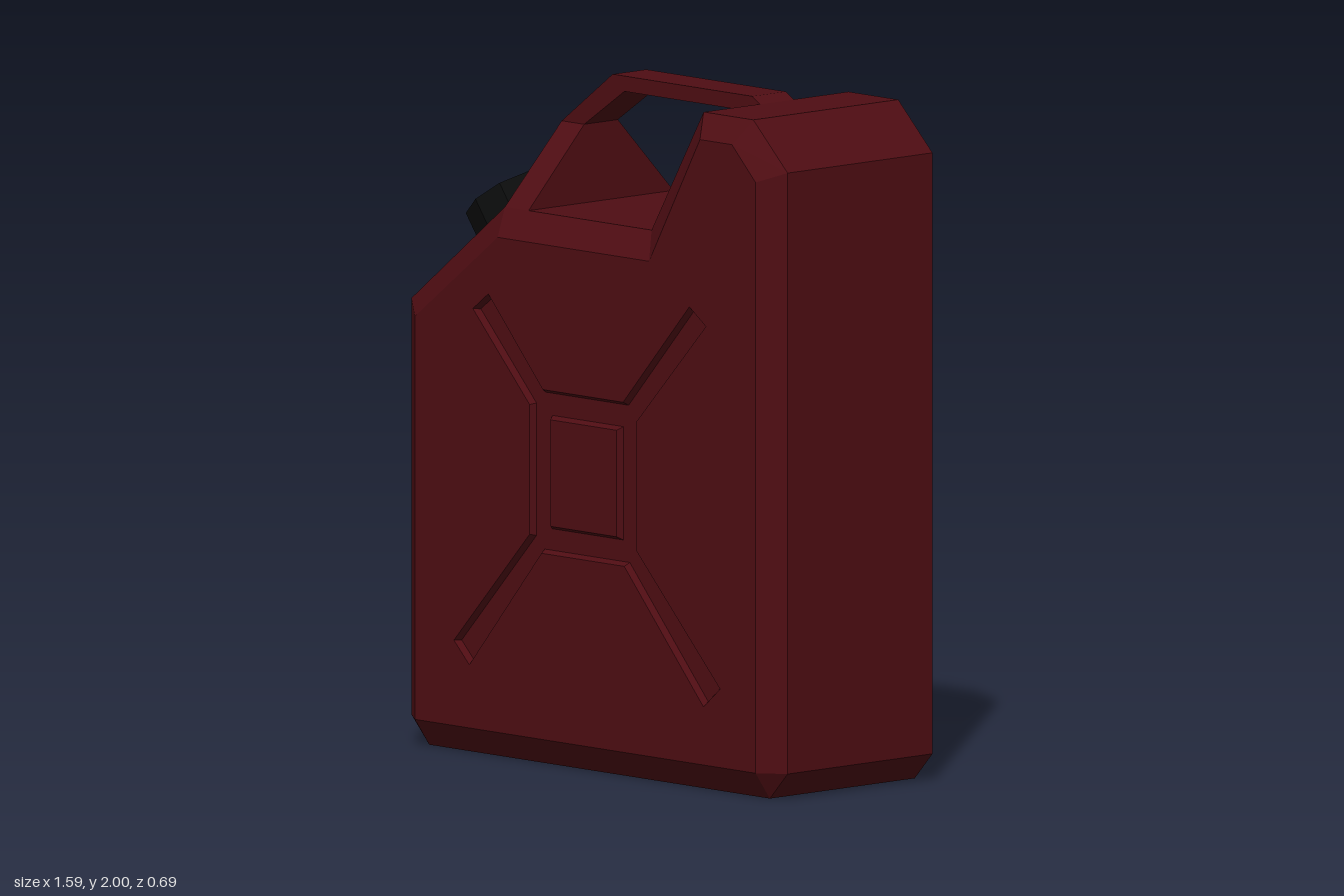
import * as THREE from 'three';
import { mergeGeometries } from 'three/addons/utils/BufferGeometryUtils.js';

const paint = new THREE.MeshStandardMaterial({ color: 0x4f0d13, flatShading: true });
const black = new THREE.MeshStandardMaterial({ color: 0x0b0c0c, flatShading: true });

const toVectors = (loop) => loop.map(([x, y]) => new THREE.Vector2(x, y));

// Band of quads joining two counter-clockwise outlines at different depths
function band(a, za, b, zb) {
  const p = [];
  a.forEach((_, i) => {
    const j = (i + 1) % a.length;
    const [A, B] = [[...a[i], za], [...a[j], za]];
    const [C, D] = [[...b[j], zb], [...b[i], zb]];
    p.push(...A, ...B, ...C, ...A, ...C, ...D);
  });
  const g = new THREE.BufferGeometry();
  g.setAttribute('position', new THREE.Float32BufferAttribute(p, 3));
  g.computeVertexNormals();
  return g;
}

// Flat panel facing +z, with an optional hole
function panel(loop, z, hole) {
  const s = new THREE.Shape(toVectors(loop));
  if (hole) s.holes.push(new THREE.Path(toVectors(hole)));
  const g = new THREE.ShapeGeometry(s).toNonIndexed();
  g.deleteAttribute('uv');
  return g.translate(0, 0, z);
}

// Shrinks a counter-clockwise outline by d with mitred corners
function inset(loop, d) {
  const v = toVectors(loop), n = v.length;
  return v.map((p, i) => {
    const e1 = p.clone().sub(v[(i + n - 1) % n]).normalize();
    const e2 = v[(i + 1) % n].clone().sub(p).normalize();
    const k = d / (1 + e1.dot(e2));
    return [p.x - (e1.y + e2.y) * k, p.y + (e1.x + e2.x) * k];
  });
}

// Extruded outline whose half width depends on height
function prism(loop, halfWidth) {
  const g = new THREE.ExtrudeGeometry(new THREE.Shape(toVectors(loop)), { depth: 1, bevelEnabled: false });
  const p = g.attributes.position;
  for (let i = 0; i < p.count; i++) p.setZ(i, (p.getZ(i) > 0.5 ? 1 : -1) * halfWidth(p.getY(i)));
  g.computeVertexNormals();
  return g;
}

export function createModel() {
  const model = new THREE.Group();
  model.name = 'fuelCan';

  // Side silhouette, and the smaller face outline left by the chamfer
  const outer = [[-0.72, 0], [0.72, 0], [0.795, 0.08], [0.795, 1.84], [0.65, 1.98],
    [0.44, 1.98], [0.22, 1.61], [-0.4, 1.61], [-0.795, 1.3], [-0.795, 0.08]];
  const inner = [[-0.72, 0.08], [0.72, 0.08], [0.72, 0.08], [0.72, 1.81], [0.62, 1.91],
    [0.485, 1.91], [0.27, 1.53], [-0.37, 1.53], [-0.72, 1.26], [-0.72, 0.08]];

  // Cross-shaped recess with a raised square in the middle
  const cross = [[-0.185, 0.625], [0.165, 0.625], [0.5, 0.25], [0.57, 0.31], [0.217, 0.675],
    [0.217, 1.055], [0.51, 1.365], [0.44, 1.415], [0.16, 1.105], [-0.18, 1.105],
    [-0.41, 1.36], [-0.475, 1.31], [-0.235, 1.055], [-0.235, 0.675], [-0.555, 0.33], [-0.49, 0.265]];
  const square = [[-0.157, 0.698], [0.143, 0.698], [0.143, 1.03], [-0.157, 1.03]];
  const crossFloor = inset(cross, 0.01), squareTop = inset(square, 0.01);
  const faceZ = 0.345, floorZ = 0.327, edgeZ = 0.288;

  const half = mergeGeometries([
    band(outer, 0, outer, edgeZ),
    band(outer, edgeZ, inner, faceZ),
    panel(inner.filter((_, i) => i !== 2 && i !== 9), faceZ, cross),
    band(cross, faceZ, crossFloor, floorZ),
    panel(crossFloor, floorZ, square),
    band(square, floorZ, squareTop, faceZ),
    panel(squareTop, faceZ),
  ]);
  for (const side of [1, -1]) {
    const m = new THREE.Mesh(half, paint);
    m.name = side > 0 ? 'bodyFront' : 'bodyBack';
    m.scale.z = side;
    model.add(m);
  }

  // Carrying handle: slim grip and a leg flaring to the full body width
  const handle = new THREE.Group();
  handle.name = 'handle';
  const grip = new THREE.Mesh(prism([[-0.395, 1.84], [-0.3, 1.84], [-0.13, 1.955], [0.38, 1.955],
    [0.42, 1.92], [0.46, 1.97], [0.41, 2], [-0.18, 2]], () => 0.067), paint);
  grip.name = 'grip';
  const leg = new THREE.Mesh(prism([[-0.4, 1.61], [-0.3, 1.61], [-0.3, 1.84], [-0.395, 1.84]],
    (y) => THREE.MathUtils.mapLinear(y, 1.61, 1.84, edgeZ, 0.067)), paint);
  leg.name = 'handleLeg';
  handle.add(grip, leg);
  model.add(handle);

  // Spout on the sloping shoulder: neck and ten-sided cap
  const spout = new THREE.Group();
  spout.name = 'spout';
  spout.position.set(-0.583, 1.468, 0);
  spout.rotation.z = 0.63;
  const cap = new THREE.Mesh(new THREE.CylinderGeometry(0.15, 0.15, 0.118, 10), black);
  cap.name = 'cap';
  cap.position.y = 0.091;
  const neck = new THREE.Mesh(new THREE.CylinderGeometry(0.125, 0.125, 0.08, 10), black);
  neck.name = 'neck';
  neck.position.y = 0.01;
  spout.add(cap, neck);
  model.add(spout);

  return model;
}
